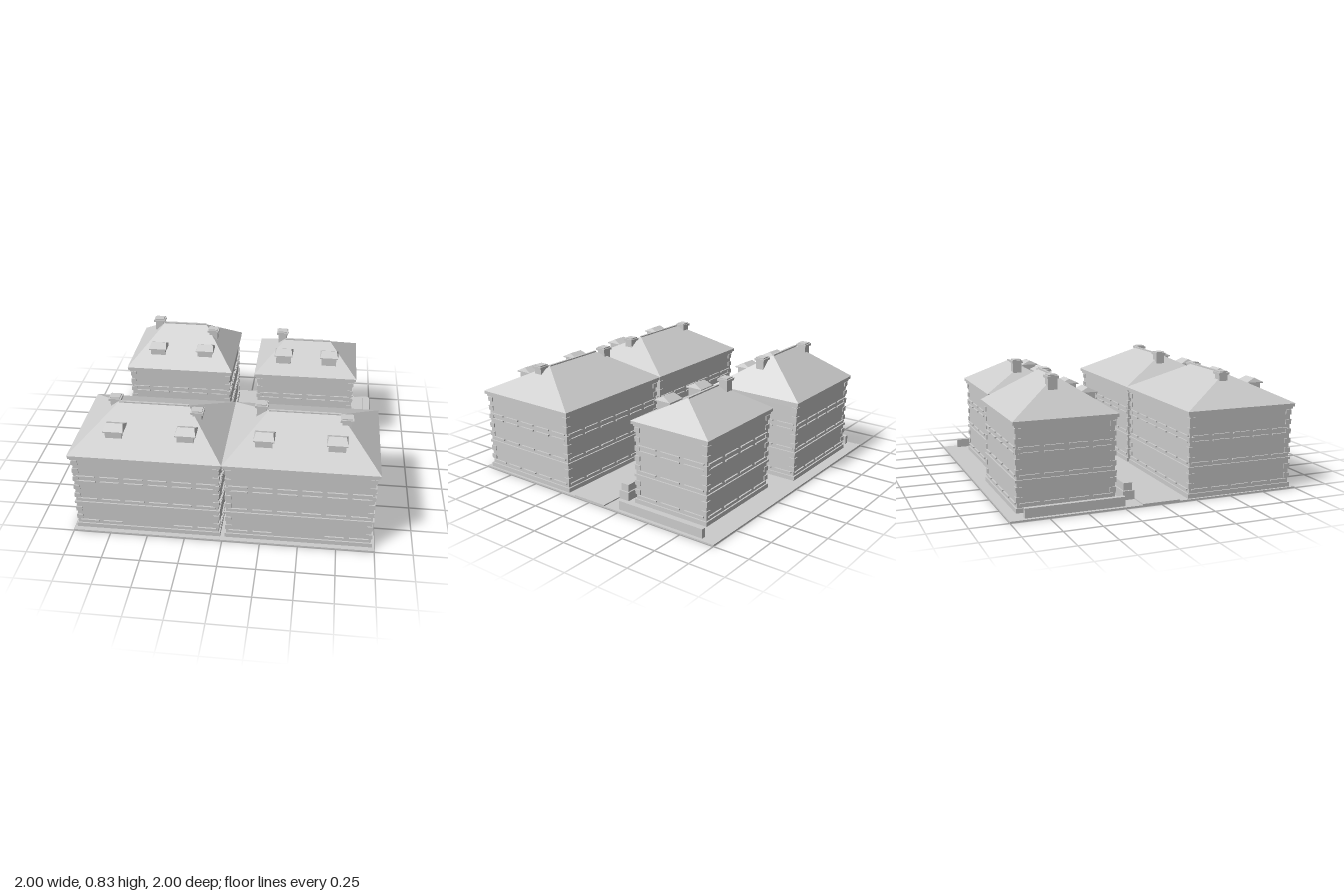
import * as THREE from 'three';

const stone = new THREE.MeshStandardMaterial({ color: 0xcccccc });
stone.name = 'pale grey';

// Box given by centre x, z, bottom and top heights
function box(parent, name, x, z, y0, y1, w, d) {
  const m = new THREE.Mesh(new THREE.BoxGeometry(w, y1 - y0, d), stone);
  m.position.set(x, (y0 + y1) / 2, z);
  m.name = name;
  parent.add(m);
}

// Hipped roof with its ridge along x
function hip(parent, name, x, y, z, w, d, ridge, h) {
  const a = [-w / 2, 0, d / 2], b = [w / 2, 0, d / 2], c = [w / 2, 0, -d / 2], e = [-w / 2, 0, -d / 2];
  const l = [-ridge / 2, h, 0], r = [ridge / 2, h, 0];
  const tris = [a, b, r, a, r, l, c, e, l, c, l, r, b, c, r, e, a, l, a, e, c, a, c, b];
  const g = new THREE.BufferGeometry();
  g.setAttribute('position', new THREE.Float32BufferAttribute(tris.flat(), 3));
  g.computeVertexNormals();
  const m = new THREE.Mesh(g, stone);
  m.position.set(x, y, z);
  m.name = name;
  parent.add(m);
}

function chimney(parent, x, z, top) {
  box(parent, 'chimneyStack', x, z, 0.58, top - 0.02, 0.062, 0.062);
  box(parent, 'chimneyCap', x, z, top - 0.024, top - 0.008, 0.085, 0.078);
  box(parent, 'chimneyTop', x, z, top - 0.008, top, 0.066, 0.06);
}

function dormer(parent, x, z, y) {
  box(parent, 'dormerBody', x, z, y, y + 0.07, 0.11, 0.1);
  box(parent, 'dormerEave', x, z, y + 0.065, y + 0.073, 0.135, 0.125);
  hip(parent, 'dormerRoof', x, y + 0.073, z, 0.135, 0.125, 0.11, 0.03);
}

// House described by the outline of its eaves
function house({ name, x, z, w, d, ridge, top, dormers, dormerZ, chimneys }) {
  const g = new THREE.Group();
  g.name = name;
  const eave = 0.588, ww = w - 0.05, wd = d - 0.05;
  box(g, 'walls', x, z, 0, 0.57, ww, wd);
  box(g, 'plinth', x, z, 0, 0.04, w - 0.03, d - 0.03);
  box(g, 'stringCourse', x, z, 0.202, 0.218, w - 0.03, d - 0.03);
  box(g, 'lowerCornice', x, z, 0.55, 0.566, w - 0.026, d - 0.026);
  box(g, 'upperCornice', x, z, 0.566, eave, w - 0.006, d - 0.006);
  hip(g, 'roof', x, eave, z, w, d, ridge, top - eave - 0.005);
  box(g, 'ridgeCap', x, z, top - 0.013, top, ridge, 0.016);

  // Alternating corner stones
  for (const sx of [-1, 1]) for (const sz of [-1, 1])
    for (const y of [0.075, 0.14, 0.25, 0.315, 0.38, 0.445, 0.51])
      box(g, 'quoin', x + sx * (ww / 2 - 0.014), z + sz * (wd / 2 - 0.014), y, y + 0.033, 0.042, 0.042);

  // Window sills and lintels, left out at the doors on the ground floor
  const nx = Math.round(ww / 0.162), nz = Math.round(wd / 0.162);
  for (const y of [0.065, 0.243, 0.383, 0.42]) {
    for (const s of [-1, 1]) {
      for (let i = 0; i < nx; i++) {
        if (y < 0.1 && s > 0 && (i === 2 || i === 3)) continue;
        const p = ww / nx;
        box(g, 'sill', x - ww / 2 + (i + 0.5) * p, z + s * wd / 2, y - 0.005, y + 0.005, p * 0.8, 0.022);
      }
      for (let i = 0; i < nz; i++) {
        const p = wd / nz;
        box(g, 'sill', x + s * ww / 2, z - wd / 2 + (i + 0.5) * p, y - 0.005, y + 0.005, 0.022, p * 0.8);
      }
    }
  }
  dormers.forEach(dx => dormer(g, dx, dormerZ, 0.635));
  chimneys.forEach(c => chimney(g, ...c));
  return g;
}

export function createModel() {
  const model = new THREE.Group();
  model.name = 'housingBlock';

  // Ground and street
  box(model, 'ground', 0, 0, 0, 0.01, 2, 2);
  box(model, 'street', 0, 0, 0.01, 0.018, 2, 0.26);

  // Four houses
  model.add(
    house({
      name: 'frontRightHouse', x: -0.5, z: 0.58, w: 1, d: 0.8, ridge: 0.47, top: 0.783,
      dormers: [-0.72, -0.25], dormerZ: 0.79, chimneys: [[-0.765, 0.54, 0.8], [-0.2, 0.625, 0.78]]
    }),
    house({
      name: 'frontLeftHouse', x: 0.5, z: 0.58, w: 1, d: 0.8, ridge: 0.47, top: 0.783,
      dormers: [0.255, 0.72], dormerZ: 0.79, chimneys: [[0.215, 0.54, 0.81], [0.775, 0.625, 0.79]]
    }),
    house({
      name: 'backRightHouse', x: -0.48, z: -0.59, w: 0.8, d: 0.7, ridge: 0.32, top: 0.82,
      dormers: [-0.66, -0.3], dormerZ: -0.395, chimneys: [[-0.69, -0.63, 0.835], [-0.255, -0.54, 0.81]]
    }),
    house({
      name: 'backLeftHouse', x: 0.47, z: -0.545, w: 0.76, d: 0.61, ridge: 0.34, top: 0.75,
      dormers: [0.3, 0.64], dormerZ: -0.39, chimneys: [[0.275, -0.585, 0.8]]
    })
  );

  // Low garden walls along both sides
  for (const s of [-1, 1]) box(model, 'gardenWall', s * 0.96, -0.57, 0, 0.072, 0.03, 0.66);

  // Planters with clipped hedges
  for (const x of [-0.76, -0.49, 0.475, 0.745]) {
    box(model, 'planter', x, -0.17, 0, 0.07, 0.2, 0.08);
    box(model, 'hedge', x, -0.17, 0.07, 0.12, 0.175, 0.06);
  }
  return model;
}
